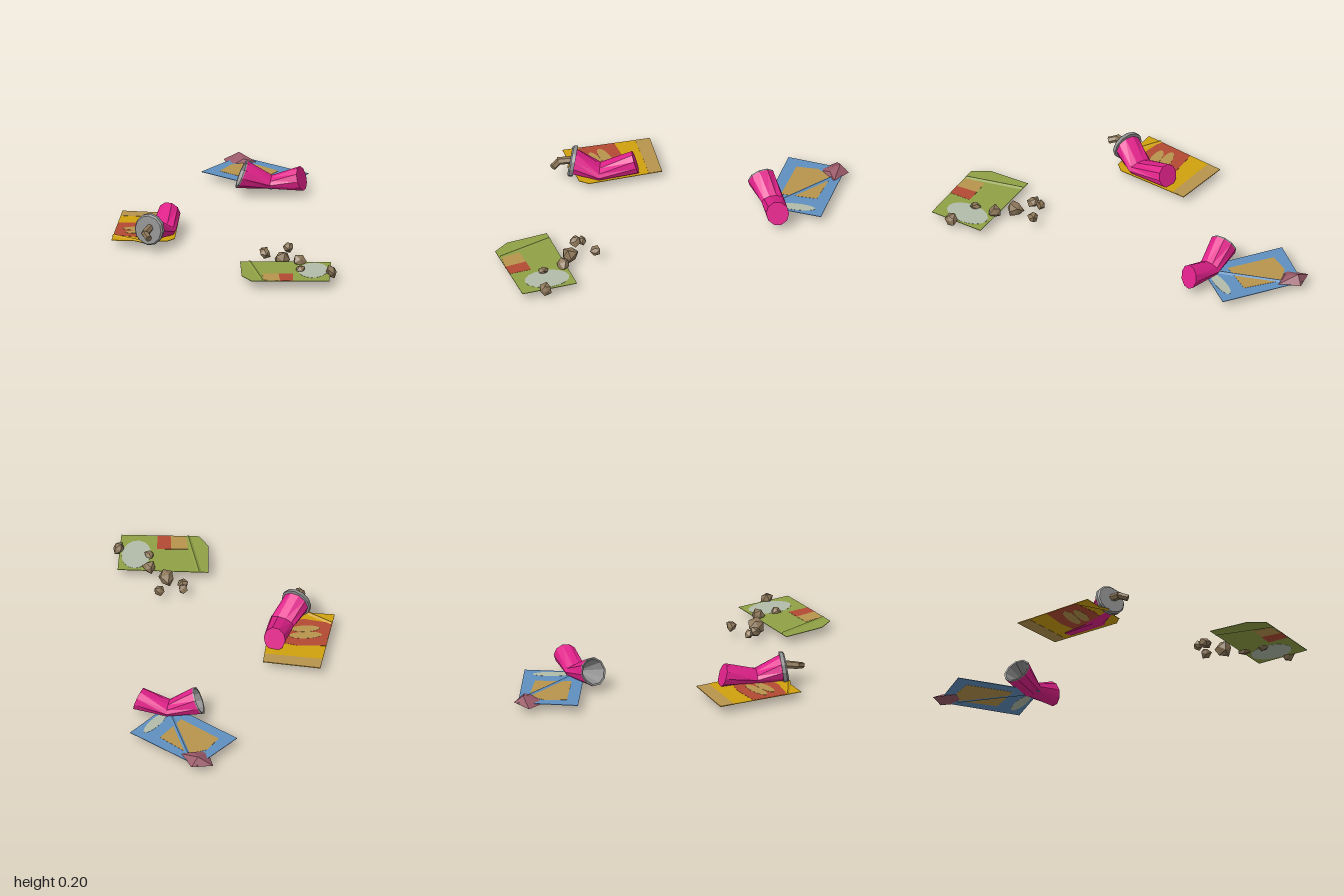
import * as THREE from 'three';
import { ConvexGeometry } from 'three/addons/geometries/ConvexGeometry.js';

const V = (a) => new THREE.Vector3(...a);
const paint = (name, color) => {
  const m = new THREE.MeshStandardMaterial({ color, flatShading: true });
  m.name = name;
  return m;
};

export function createModel() {
  const root = new THREE.Group();
  const pink = paint('pink', 0xe0218a), grey = paint('metal grey', 0x8e8e8e), brown = paint('stone brown', 0x8c7658);
  const blue = paint('blue', 0x5f8fbe), tan = paint('tan', 0xb8934c), green = paint('green', 0x8fa045);
  const red = paint('red', 0xb34a33), yellow = paint('yellow', 0xcfa00e), pale = paint('pale', 0xb2bbaa);
  const dusty = paint('dusty rose', 0x9a5a68);

  const add = (parent, name, geometry, material) => {
    const mesh = new THREE.Mesh(geometry, material);
    mesh.name = name;
    parent.add(mesh);
    return mesh;
  };
  const group = (name) => {
    const g = new THREE.Group();
    g.name = name;
    root.add(g);
    return g;
  };

  // Skin through elliptical rings; station = [x, y, z, halfWidth, halfHeight, lean, yaw]
  const loft = (stations, sides = 10) => {
    const pos = [], idx = [];
    stations.forEach(([x, y, z, w, h, lean, yaw], i) => {
      const s = Math.sin(yaw), c = Math.cos(yaw);
      for (let j = 0; j < sides; j++) {
        const a = (j / sides) * Math.PI * 2, u = Math.cos(a) * w, v = Math.sin(a);
        pos.push(x + c * u + s * lean * v, y + h * v, z + s * u - c * lean * v);
        if (i === stations.length - 1) continue;
        const p = i * sides + j, q = i * sides + (j + 1) % sides;
        idx.push(p, p + sides, q, q, p + sides, q + sides);
      }
    });
    const g = new THREE.BufferGeometry();
    g.setAttribute('position', new THREE.Float32BufferAttribute(pos, 3));
    g.setIndex(idx);
    g.computeVertexNormals();
    return g;
  };

  // Thin flat sheet from [x, z] corners; higher layers are slightly thicker
  const sheet = (parent, name, pts, mat, layer = 0) => {
    const depth = 0.003 + 0.002 * layer;
    const shape = new THREE.Shape(pts.map(([x, z]) => new THREE.Vector2(x, -z)));
    const g = new THREE.ExtrudeGeometry(shape, { depth, bevelEnabled: false });
    g.rotateX(-Math.PI / 2).translate(0, 0.056 - depth / 2, 0);
    return add(parent, name, g, mat);
  };
  const oval = (cx, cz, a, b, turn, n = 16) => Array.from({ length: n }, (_, i) => {
    const t = (i / n) * Math.PI * 2, u = a * Math.cos(t), v = b * Math.sin(t);
    return [cx + u * Math.cos(turn) - v * Math.sin(turn), cz + u * Math.sin(turn) + v * Math.cos(turn)];
  });
  // Raised crease across a packet
  const crease = (parent, [x0, z0], [x1, z1], mat) => {
    const yaw = Math.atan2(x1 - x0, z0 - z1);
    add(parent, 'crease', loft([[x0, 0.057, z0, 0.014, 0.008, 0, yaw], [x1, 0.057, z1, 0.014, 0.008, 0, yaw]], 4), mat);
  };
  const rod = (parent, name, a, b, r, mat) => {
    const p = V(a), d = V(b).sub(p);
    const m = add(parent, name, new THREE.CylinderGeometry(r, r, d.length(), 6), mat);
    m.position.copy(p).addScaledVector(d, 0.5);
    m.quaternion.setFromUnitVectors(new THREE.Vector3(0, 1, 0), d.normalize());
  };

  // Blue packet with a folded corner
  const bluePacket = group('bluePacket');
  sheet(bluePacket, 'bluePacketSheet', [[-0.513, -0.762], [-0.963, -0.62], [-0.877, -0.302], [-0.42, -0.445]], blue);
  sheet(bluePacket, 'tanPanel', [[-0.85, -0.6], [-0.64, -0.65], [-0.567, -0.463], [-0.825, -0.388], [-0.875, -0.5]], tan, 1);
  sheet(bluePacket, 'paleStripe', oval(-0.515, -0.6, 0.105, 0.03, 1.17), pale, 1);
  crease(bluePacket, [-0.86, -0.61], [-0.5, -0.49], blue);
  add(bluePacket, 'foldedCorner', new ConvexGeometry([
    [-0.95, 0.05, -0.65], [-0.83, 0.06, -0.635], [-0.877, 0.046, -0.495], [-1, 0.046, -0.54],
    [-0.94, 0.093, -0.6], [-0.87, 0.076, -0.58]].map(V)), dusty);

  // Yellow packet
  const yellowPacket = group('yellowPacket');
  sheet(yellowPacket, 'yellowPacketSheet', [[-0.38, 0.195], [-0.6, 0.425], [-0.24, 0.757], [-0.05, 0.52], [-0.06, 0.46]], yellow);
  sheet(yellowPacket, 'tanEdge', [[-0.38, 0.195], [-0.6, 0.425], [-0.54, 0.48], [-0.325, 0.245]], tan, 1);
  sheet(yellowPacket, 'redPanel', [[-0.45, 0.56], [-0.36, 0.43], [-0.25, 0.34], [-0.13, 0.5], [-0.19, 0.6], [-0.3, 0.7]], red, 1);
  sheet(yellowPacket, 'tanSpotLeft', oval(-0.31, 0.52, 0.09, 0.03, 2.1), tan, 2);
  sheet(yellowPacket, 'tanSpotRight', oval(-0.26, 0.55, 0.08, 0.028, 2.1), tan, 2);
  crease(yellowPacket, [-0.3, 0.7], [-0.12, 0.63], yellow);

  // Green packet
  const greenPacket = group('greenPacket');
  sheet(greenPacket, 'greenPacketSheet', [[0.75, -0.01], [1, 0.18], [0.754, 0.527], [0.652, 0.52], [0.455, 0.39]], green);
  sheet(greenPacket, 'paleOval', oval(0.807, 0.15, 0.125, 0.08, 0.7), pale, 1);
  sheet(greenPacket, 'redPatch', [[0.785, 0.27], [0.882, 0.34], [0.845, 0.4], [0.74, 0.335]], red, 1);
  sheet(greenPacket, 'tanPatch', [[0.74, 0.335], [0.845, 0.4], [0.785, 0.465], [0.69, 0.41]], tan, 1);
  crease(greenPacket, [0.487, 0.35], [0.786, 0.475], green);

  // Open crushed can
  const openCan = group('openCan');
  const rim = [-0.556, 0.127, -0.338, 0.077, 0.074, 0.03, 0.61];
  const rimBack = [-0.551, 0.125, -0.345, 0.077, 0.074, 0.03, 0.61];
  add(openCan, 'canBody', loft([rimBack, [-0.465, 0.079, -0.479, 0.064, 0.035, 0, 0.75],
    [-0.342, 0.111, -0.593, 0.063, 0.066, -0.018, 1], [-0.342, 0.111, -0.593, 0, 0, 0, 1]]), pink);
  add(openCan, 'canMouth', loft([[-0.475, 0.083, -0.463, 0, 0, 0, 0.61],
    [-0.555, 0.127, -0.34, 0.068, 0.065, 0.027, 0.61], rim, rimBack]), grey);

  // Crushed can with lid and spout
  const lidCan = group('lidCan');
  add(lidCan, 'canBody', loft([[-0.108, 0.126, 0.595, 0.076, 0.074, 0.01, -0.49],
    [-0.166, 0.079, 0.46, 0.073, 0.035, 0, -0.52],
    [-0.305, 0.112, 0.32, 0.062, 0.064, -0.02, -0.66], [-0.305, 0.112, 0.32, 0, 0, 0, -0.66]]), pink);
  const lid = (x, z, r) => [x, 0.126, z, r, r, r ? 0.012 : 0, -0.49];
  add(lidCan, 'lid', loft([lid(-0.098, 0.612, 0), lid(-0.098, 0.612, 0.078), lid(-0.102, 0.604, 0.086),
    lid(-0.112, 0.586, 0.086), lid(-0.112, 0.586, 0)], 12), grey);
  rod(lidCan, 'spoutStem', [-0.095, 0.14, 0.6], [-0.057, 0.128, 0.665], 0.021, brown);
  rod(lidCan, 'spoutTip', [-0.064, 0.13, 0.658], [-0.012, 0.112, 0.668], 0.019, brown);

  // Scattered stones with uneven corners
  const stones = group('stones');
  [[0.455, 0.072, 0.066, 0.032], [0.405, 0.06, 0.19, 0.027], [0.44, 0.066, 0.212, 0.035], [0.545, 0.054, 0.175, 0.049],
    [0.66, 0.068, 0.14, 0.039], [0.76, 0.06, 0.205, 0.03], [0.9, 0.065, 0.095, 0.036]].forEach(([x, y, z, r], k) => {
    const g = new THREE.IcosahedronGeometry(r, 0), p = g.attributes.position;
    for (let i = 0; i < p.count; i++) {
      const v = new THREE.Vector3().fromBufferAttribute(p, i);
      const key = Math.round(v.x / r * 50) * 1.3 + Math.round(v.y / r * 50) * 2.1 + Math.round(v.z / r * 50) * 3.7;
      v.multiplyScalar(0.95 + 0.16 * Math.sin(key + k * 2.3));
      p.setXYZ(i, v.x, v.y, v.z);
    }
    g.rotateY(k * 1.1);
    g.computeVertexNormals();
    add(stones, 'stone', g, brown).position.set(x, y, z);
  });
  return root;
}
